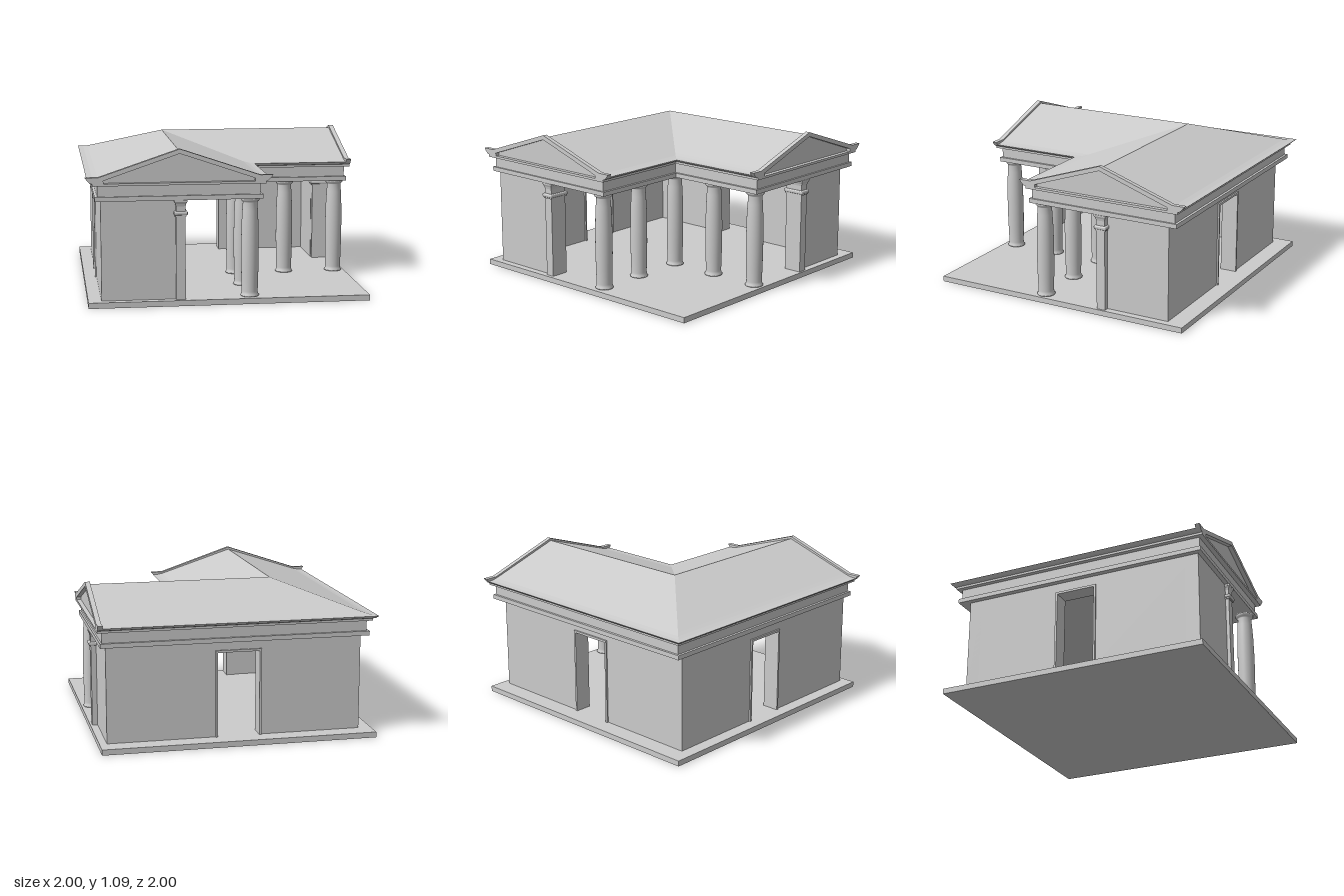
import * as THREE from 'three';
import { RoundedBoxGeometry } from 'three/addons/geometries/RoundedBoxGeometry.js';

const C = -0.355; // axis of both wings (x for the front wing, z for the side wing)
const TOP = 0.738; // top of walls, piers and columns
const mat = new THREE.MeshStandardMaterial({ color: 0xcccccc });

function add(parent, name, geometry) {
  const mesh = new THREE.Mesh(geometry, mat);
  mesh.name = name;
  parent.add(mesh);
  return mesh;
}

// Box from its limits; swap exchanges x and z for the mirrored wing
function block(parent, name, [x0, x1], [y0, y1], [z0, z1], swap = false) {
  if (swap) [x0, x1, z0, z1] = [z0, z1, x0, x1];
  const mesh = add(parent, name, new THREE.BoxGeometry(x1 - x0, y1 - y0, z1 - z0));
  mesh.position.set((x0 + x1) / 2, (y0 + y1) / 2, (z0 + z1) / 2);
}

// Mirrors the right half of a section (bottom to top) into a closed outline
function section(half) {
  const left = half.filter(([o]) => o > 0).map(([o, y]) => [-o, y]).reverse();
  return [...half, ...left];
}

// Sweeps a section round the L plan with a mitre at the corner and capped ends
function sweepL(outline, end) {
  const pos = [];
  const stations = [
    ([o, y]) => [C + o, y, end],
    ([o, y]) => [C + o, y, C + o],
    ([o, y]) => [end, y, C + o],
  ];
  const tri = (...points) => points.forEach((p) => pos.push(...p));
  for (let s = 0; s < 2; s++) {
    outline.forEach((p, i) => {
      const q = outline[(i + 1) % outline.length];
      const a = stations[s](p), b = stations[s + 1](p);
      const c = stations[s + 1](q), d = stations[s](q);
      tri(a, b, c);
      tri(a, c, d);
    });
  }
  const faces = THREE.ShapeUtils.triangulateShape(outline.map(([o, y]) => new THREE.Vector2(o, y)), []);
  for (const [i, j, k] of faces) {
    tri(...[i, j, k].map((n) => stations[0](outline[n])));
    tri(...[k, j, i].map((n) => stations[2](outline[n])));
  }
  const geo = new THREE.BufferGeometry();
  geo.setAttribute('position', new THREE.Float32BufferAttribute(pos, 3));
  geo.computeVertexNormals();
  return geo;
}

// Long wall with a framed doorway: plane is its outer face, along the other axis
function doorWall(parent, name, plane, from, to, d0, d1, swap) {
  const wall = new THREE.Group();
  wall.name = name;
  const depth = [plane, plane + 0.1];
  block(wall, 'wallSection', [from, d0], [0.04, TOP], depth, swap);
  block(wall, 'wallSection', [d1, to], [0.04, TOP], depth, swap);
  block(wall, 'wallOverDoor', [d0, d1], [0.65, TOP], depth, swap);
  const frame = [plane - 0.012, plane + 0.112];
  block(wall, 'doorJamb', [d0 - 0.015, d0], [0.04, 0.666], frame, swap);
  block(wall, 'doorJamb', [d1, d1 + 0.015], [0.04, 0.666], frame, swap);
  block(wall, 'doorLintel', [d0, d1], [0.65, 0.666], frame, swap);
  parent.add(wall);
}

// Square pier with moulded capital, at the free end of a return wall
function pier(parent, swap) {
  const g = new THREE.Group();
  g.name = 'pier';
  const w = 0.066, d = 0.136;
  block(g, 'pierShaft', [-w / 2, w / 2], [0.04, 0.72], [-d / 2, d / 2]);
  block(g, 'pierNecking', [-0.04, 0.04], [0.624, 0.634], [-0.075, 0.075]);
  add(g, 'pierMoulding', new RoundedBoxGeometry(0.096, 0.026, 0.166, 3, 0.009)).position.y = 0.647;
  // flared upper moulding, built up from tapering four-sided rings
  const steps = [[0.695, 1], [0.712, 1.12], [0.727, 1.35]];
  for (let i = 0; i < 2; i++) {
    const [y0, s0] = steps[i], [y1, s1] = steps[i + 1];
    const geo = new THREE.CylinderGeometry(s1 * Math.SQRT1_2, s0 * Math.SQRT1_2, y1 - y0, 4);
    geo.rotateY(Math.PI / 4);
    geo.scale(w, 1, w);
    const p = geo.attributes.position; // keep the same overhang on the deeper sides
    for (let n = 0; n < p.count; n++) p.setZ(n, p.getZ(n) + Math.sign(p.getZ(n)) * (d - w) / 2);
    const flat = geo.toNonIndexed();
    flat.computeVertexNormals();
    add(g, 'pierFlare', flat).position.y = (y0 + y1) / 2;
  }
  block(g, 'pierAbacus', [-0.045, 0.045], [0.727, TOP], [-0.08, 0.08]);
  if (swap) {
    g.rotation.y = Math.PI / 2;
    g.position.set(0.902, 0, -0.347);
  } else {
    g.position.set(-0.347, 0, 0.902);
  }
  parent.add(g);
}

// Gable frame with a deeply recessed field
function pedimentGeometry() {
  const outline = section([[0.595, 0.847], [0.595, 0.863], [0.612, 0.869], [0.63, 0.886],
    [0.645, 0.907], [0.555, 0.907], [0, 1.094]]);
  const shape = new THREE.Shape(outline.map(([x, y]) => new THREE.Vector2(x, y)));
  const hole = section([[0.52, 0.864], [0.52, 0.885], [0, 1.062]]);
  shape.holes.push(new THREE.Path(hole.map(([x, y]) => new THREE.Vector2(x, y))));
  return new THREE.ExtrudeGeometry(shape, { depth: 0.035, bevelEnabled: false });
}

export function createModel() {
  const model = new THREE.Group();
  model.name = 'lShapedPortico';

  block(model, 'floorSlab', [-0.987, 0.985], [0, 0.04], [-0.987, 0.997]);

  // Outer walls with doorways, and short returns that close the two gable ends
  doorWall(model, 'backWall', -0.855, -0.895, 0.932, -0.155, 0.145, false);
  doorWall(model, 'sideWall', -0.895, -0.855, 0.945, -0.13, 0.155, true);
  block(model, 'frontReturnWall', [-0.895, -0.36], [0.04, TOP], [0.845, 0.945]);
  block(model, 'sideReturnWall', [0.832, 0.932], [0.04, TOP], [-0.855, -0.36]);
  pier(model, false);
  pier(model, true);

  // Columns along the inner court, with a slight swelling of the shaft
  const profile = [[0, 0.04], [0.064, 0.04], [0.065, 0.048], [0.058, 0.058], [0.056, 0.075], [0.059, 0.18],
    [0.0615, 0.3], [0.0615, 0.42], [0.059, 0.55], [0.054, 0.65], [0.05, 0.705], [0.056, 0.712],
    [0.064, 0.72], [0.066, 0.728], [0.066, TOP], [0, TOP]];
  const columnGeo = new THREE.LatheGeometry(profile.map(([r, y]) => new THREE.Vector2(r, y)), 40);
  for (const [x, z] of [[0.144, 0.9], [0.144, 0.54], [0.144, 0.144], [0.524, 0.144], [0.904, 0.144]]) {
    add(model, 'column', columnGeo).position.set(x, 0, z);
  }

  // Entablature bands, then cornice and roof with softly kicked eaves
  add(model, 'architrave', sweepL(section([[0.58, TOP], [0.58, 0.77]]), 0.978));
  add(model, 'frieze', sweepL(section([[0.562, 0.77], [0.562, 0.847]]), 0.965));
  add(model, 'roof', sweepL(section([[0.595, 0.847], [0.595, 0.863], [0.612, 0.869], [0.63, 0.885],
    [0.59, 0.888], [0.555, 0.895], [0.52, 0.906], [0, 1.076]]), 0.968));

  // Gables
  const gable = pedimentGeometry();
  add(model, 'frontPediment', gable).position.set(C, 0, 0.965);
  const side = add(model, 'sidePediment', gable);
  side.position.set(0.965, 0, C);
  side.rotation.y = Math.PI / 2;

  return model;
}
